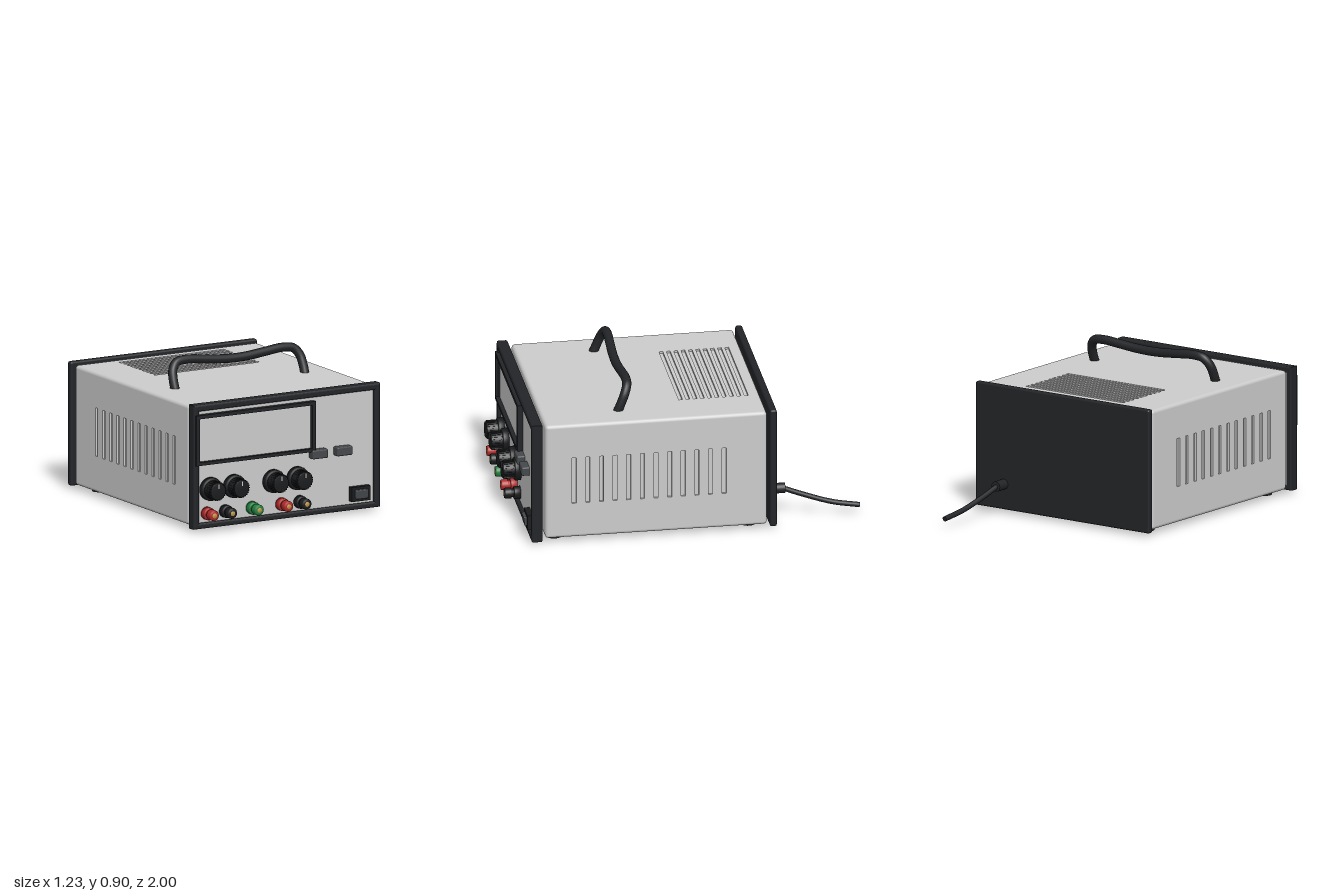
import * as THREE from 'three';
import { RoundedBoxGeometry } from 'three/addons/geometries/RoundedBoxGeometry.js';

const mat = (color, side = THREE.FrontSide) => new THREE.MeshStandardMaterial({ color, side });
const grey = mat(0xcccccc), black = mat(0x222427), knobBlack = mat(0x1b1c1e), buttonGrey = mat(0x45484c);
const red = mat(0xb02a2a), green = mat(0x238040), gold = mat(0xc09a45), white = mat(0xe8e8e8);

function add(parent, name, geometry, material, x = 0, y = 0, z = 0) {
  const m = new THREE.Mesh(geometry, material);
  m.name = name;
  m.position.set(x, y, z);
  parent.add(m);
  return m;
}

function rect(target, x0, y0, x1, y1) {
  target.moveTo(x0, y0);
  target.lineTo(x1, y0);
  target.lineTo(x1, y1);
  target.lineTo(x0, y1);
  target.closePath();
  return target;
}

// Flat plate with rectangular holes, each [x0, y0, x1, y1]
function plate(outer, holes, depth, bevel = 0) {
  const s = rect(new THREE.Shape(), ...outer);
  for (const h of holes) s.holes.push(rect(new THREE.Path(), ...h));
  return new THREE.ExtrudeGeometry(s, {
    depth, bevelEnabled: bevel > 0, bevelSize: bevel, bevelThickness: bevel, bevelOffset: -bevel, bevelSegments: 3,
  });
}

// Round part whose axis points to the front; profile is [radius, z]
const turned = (profile) =>
  new THREE.LatheGeometry(profile.map(([r, z]) => new THREE.Vector2(r, z)), 40).rotateX(Math.PI / 2);

function buildCase(root) {
  const g = new THREE.Group();
  g.name = 'case';
  root.add(g);
  const W = 0.6, H = 0.3475, L = 0.637, cy = 0.3775, cz = 0.195, r = 0.02, t = 0.012;
  g.position.set(0, cy, cz);
  add(g, 'caseCore', new THREE.BoxGeometry(2 * (W - t), 2 * (H - t), 2 * (L - t)), grey);

  // Rounded edges
  const half = [W - r, H - r, L - r];
  for (let axis = 0; axis < 3; axis++)
    for (const a of [-1, 1])
      for (const b of [-1, 1]) {
        const geo = new THREE.CapsuleGeometry(r, 2 * half[axis], 6, 16);
        if (axis === 0) geo.rotateZ(Math.PI / 2);
        if (axis === 2) geo.rotateX(Math.PI / 2);
        const p = half.map((v, i) => (i === axis ? 0 : v * (i === (axis + 1) % 3 ? a : b)));
        add(g, 'caseEdge', geo, grey, ...p);
      }

  // Side plates with upright slots
  const sideHoles = [];
  for (let i = 0; i < 12; i++) {
    const z = 0.667 - i * 0.0784 - cz;
    sideHoles.push([-z - 0.012, 0.24 - cy, -z + 0.012, 0.52 - cy]);
  }
  const [x, y, z] = half;
  const side = plate([-z, -y, z, y], sideHoles, t).rotateY(Math.PI / 2);
  add(g, 'rightSidePlate', side, grey, W - t);
  const mirrored = plate([-z, -y, z, y], sideHoles.map(([a, b, c, d]) => [-c, b, -a, d]), t).rotateY(-Math.PI / 2);
  add(g, 'leftSidePlate', mirrored, grey, -W + t);

  // Top plate with crosswise slots
  const topHoles = [];
  for (let i = 0; i < 10; i++) {
    const v = cz - (-0.365 + i * 0.042);
    topHoles.push([-0.345, v - 0.011, 0.345, v + 0.011]);
  }
  add(g, 'topPlate', plate([-x, -z, x, z], topHoles, t).rotateX(-Math.PI / 2), grey, 0, H - t);

  // Plain bottom and ends
  add(g, 'bottomPlate', new THREE.BoxGeometry(2 * x, t, 2 * z), grey, 0, -H + t / 2);
  for (const s of [-1, 1])
    add(g, 'endPlate', new THREE.BoxGeometry(2 * x, 2 * y, t), grey, 0, 0, s * (L - t / 2));
}

function buildKnob(root, x) {
  const g = new THREE.Group();
  g.name = 'knob';
  g.position.set(x, 0.245, 0.892);
  root.add(g);
  add(g, 'knobSkirt', turned([[0, 0], [0.067, 0], [0.067, 0.03], [0.062, 0.036], [0.05, 0.038]]), knobBlack);
  add(g, 'knobCap', turned([[0.054, 0.03], [0.049, 0.1]]), knobBlack);
  add(g, 'knobFace', turned([[0.049, 0.1], [0.045, 0.106], [0, 0.106]]), knobBlack);
  for (let i = 0; i < 24; i++) {
    const a = (i / 24) * Math.PI * 2;
    const rib = add(g, 'knobRib', new THREE.BoxGeometry(0.006, 0.006, 0.06), knobBlack,
      Math.cos(a) * 0.0515, Math.sin(a) * 0.0515, 0.067);
    rib.rotation.z = a;
  }
  add(g, 'knobMarker', new THREE.BoxGeometry(0.006, 0.026, 0.004), white, 0, 0.031, 0.1065);
}

function buildTerminal(root, x, material) {
  const g = new THREE.Group();
  g.name = 'terminal';
  g.position.set(x, 0.105, 0.892);
  root.add(g);
  add(g, 'terminalBase', turned([[0, 0], [0.037, 0], [0.037, 0.034], [0.034, 0.04], [0.025, 0.04]]), material);
  add(g, 'terminalNeck', turned([[0.025, 0.036], [0.025, 0.055], [0.031, 0.057]]), material);
  add(g, 'terminalCap', turned([[0.031, 0.055], [0.031, 0.086], [0.027, 0.094], [0.013, 0.094]]), material);
  add(g, 'terminalSocket', turned([[0.014, 0.088], [0.014, 0.095], [0, 0.095]]), gold);
}

function buildFront(root) {
  add(root, 'bezel', plate([-0.615, 0.02, 0.615, 0.74], [[-0.578, 0.053, 0.578, 0.702]], 0.044, 0.01), black, 0, 0, 0.86);
  add(root, 'frontPanel', new THREE.BoxGeometry(1.18, 0.67, 0.042), grey, 0, 0.377, 0.873);

  // Display window
  add(root, 'displayFrame', plate([-0.605, 0.39, 0.184, 0.682], [[-0.582, 0.409, 0.16, 0.661]], 0.035), black, 0, 0, 0.89);
  add(root, 'displayScreen', new THREE.BoxGeometry(0.75, 0.26, 0.01), grey, -0.21, 0.535, 0.896);

  for (const x of [0.207, 0.368])
    add(root, 'button', new RoundedBoxGeometry(0.102, 0.052, 0.05, 3, 0.008), buttonGrey, x, 0.374, 0.914);

  for (const x of [-0.5, -0.345, -0.085, 0.072]) buildKnob(root, x);
  for (const [x, m] of [[-0.52, red], [-0.4, knobBlack], [-0.224, green], [-0.03, red], [0.09, knobBlack]])
    buildTerminal(root, x, m);

  // Power switch
  add(root, 'switchFrame', new THREE.BoxGeometry(0.122, 0.084, 0.036), knobBlack, 0.481, 0.113, 0.909);
  const rocker = add(root, 'switchRocker', new RoundedBoxGeometry(0.082, 0.054, 0.03, 3, 0.006), buttonGrey, 0.481, 0.113, 0.927);
  rocker.rotation.x = 0.12;
}

function buildHandle(root) {
  // Half outline [x, y], mirrored; the whole handle leans back
  const half = [[0.427, 0.7], [0.427, 0.77], [0.418, 0.82], [0.385, 0.86], [0.32, 0.87], [0.2, 0.86], [0.1, 0.85]];
  const outline = [...half.map(([x, y]) => [-x, y]), [0, 0.846], ...half.slice().reverse()];
  const path = new THREE.CatmullRomCurve3(
    outline.map(([x, y]) => new THREE.Vector3(x, y, 0.395 - (y - 0.7) * 0.41)));
  add(root, 'handle', new THREE.TubeGeometry(path, 90, 0.026, 16), black);
}

function buildBack(root) {
  add(root, 'rearPanel', new RoundedBoxGeometry(1.23, 0.72, 0.04, 4, 0.012), black, 0, 0.38, -0.477);
  add(root, 'cableSleeve', new THREE.CylinderGeometry(0.03, 0.03, 0.085, 24).rotateX(Math.PI / 2), black, 0.412, 0.168, -0.532);
  const path = new THREE.CatmullRomCurve3([
    [0.412, 0.168, -0.56], [0.425, 0.125, -0.68], [0.443, 0.077, -0.84], [0.457, 0.052, -0.998],
  ].map((p) => new THREE.Vector3(...p)));
  add(root, 'powerCable', new THREE.TubeGeometry(path, 40, 0.015, 12), mat(0x222427, THREE.DoubleSide));
  const end = add(root, 'cableEnd', new THREE.CircleGeometry(0.015, 12), black, 0.457, 0.052, -0.998);
  end.lookAt(path.getPoint(1).add(path.getTangent(1)));
}

export function createModel() {
  const root = new THREE.Group();
  root.name = 'benchPowerSupply';
  buildCase(root);
  buildFront(root);
  buildHandle(root);
  buildBack(root);
  for (const x of [-0.487, 0.487])
    for (const z of [0.765, -0.35])
      add(root, 'foot', new THREE.CylinderGeometry(0.046, 0.046, 0.036, 28), black, x, 0.018, z);
  return root;
}
